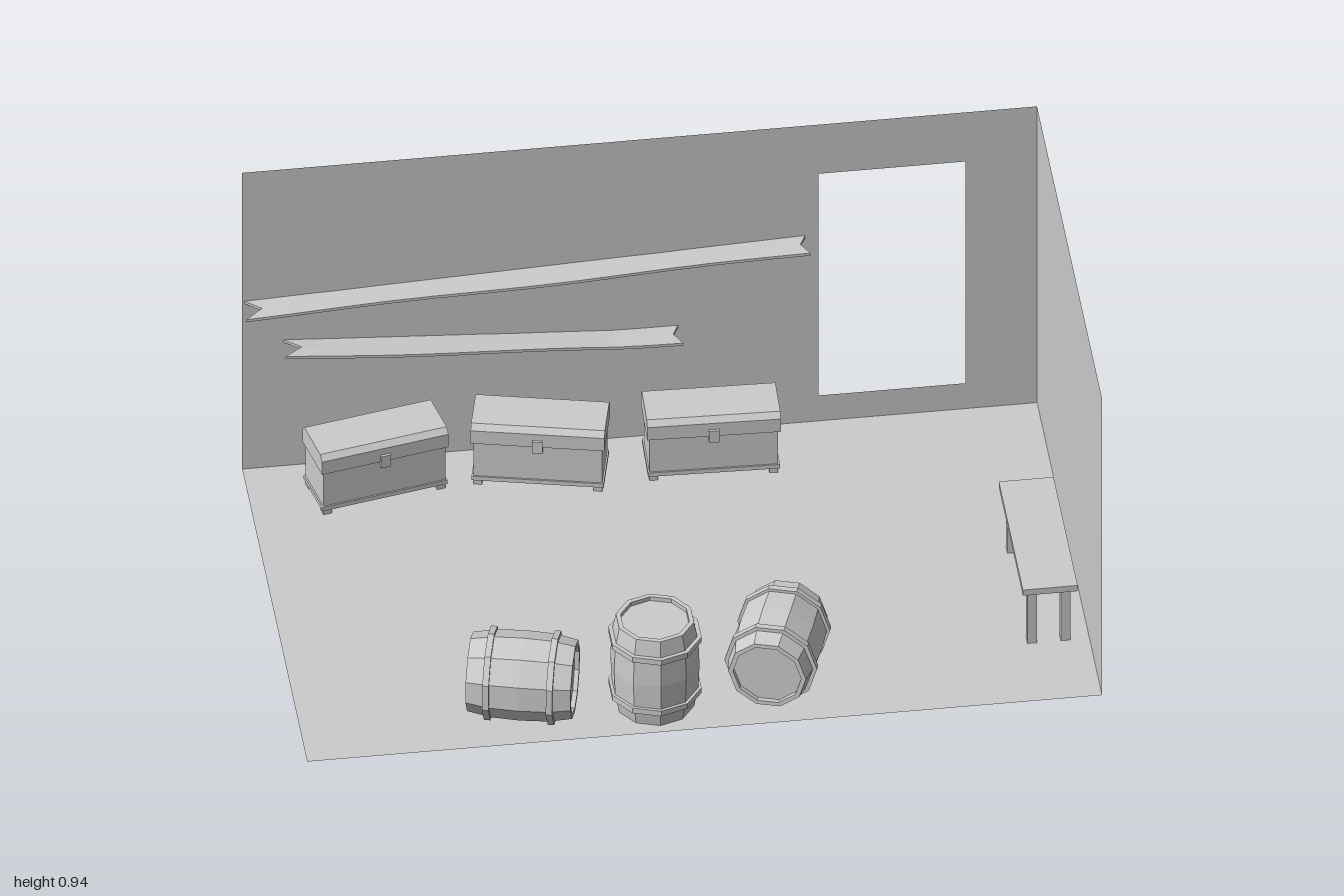
import * as THREE from 'three';

const mat = new THREE.MeshStandardMaterial({ color: 0xcccccc, flatShading: true, side: THREE.DoubleSide });

function add(parent, name, geometry, x = 0, y = 0, z = 0) {
  const m = new THREE.Mesh(geometry, mat);
  m.name = name;
  m.position.set(x, y, z);
  parent.add(m);
  return m;
}

function group(parent, name) {
  const g = new THREE.Group();
  g.name = name;
  parent.add(g);
  return g;
}

const box = (w, h, d) => new THREE.BoxGeometry(w, h, d);
const lathe = (pts) => new THREE.LatheGeometry(pts.map(([r, y]) => new THREE.Vector2(r, y)), 10);

// Floor and two thin walls, the back one with a doorway
function room(parent) {
  const g = group(parent, 'room');
  add(g, 'floor', new THREE.PlaneGeometry(2, 1.2)).rotation.x = -Math.PI / 2;
  add(g, 'sideWall', new THREE.PlaneGeometry(1.2, 0.935), 1, 0.4675, 0).rotation.y = -Math.PI / 2;
  const wall = new THREE.Shape([[-1, 0], [1, 0], [1, 0.935], [-1, 0.935]].map((p) => new THREE.Vector2(...p)));
  wall.holes.push(new THREE.Path([[0.45, 0.08], [0.45, 0.78], [0.82, 0.78], [0.82, 0.08]].map((p) => new THREE.Vector2(...p))));
  add(g, 'backWall', new THREE.ShapeGeometry(wall), 0, 0, -0.6);
}

// Rough plank: a box bent along a height rule, with wavy edges and notched ends
function plank(parent, name, x0, x1, height, phase) {
  const geo = new THREE.BoxGeometry(x1 - x0, 0.008, 0.074, 12, 1, 2);
  const p = geo.attributes.position;
  const half = (x1 - x0) / 2;
  for (let i = 0; i < p.count; i++) {
    let x = p.getX(i);
    const z = p.getZ(i);
    const middle = Math.abs(z) < 0.001;
    const y = p.getY(i) + height((x + half) / (2 * half));
    const wave = middle ? 0 : 0.004 * Math.sin(x * 8 + phase + z * 30);
    if (middle && x < -half + 0.001) x += 0.045;
    if (middle && x > half - 0.001) x -= 0.02;
    p.setXYZ(i, x, y, z + wave);
  }
  geo.computeVertexNormals();
  add(parent, name, geo, (x0 + x1) / 2, 0, -0.566);
}

// Chest with feet, bevelled lid, latch and hinge-side rim
function chest(parent, x, z, turn) {
  const g = group(parent, 'chest');
  g.position.set(x, 0, z);
  g.rotation.y = turn;
  const W = 0.335, D = 0.145;
  add(g, 'body', box(W - 0.012, 0.118, D - 0.012), 0, 0.074, 0);
  add(g, 'baseTrim', box(W - 0.004, 0.012, D - 0.004), 0, 0.021, 0);
  for (const sx of [-1, 1]) for (const sz of [-1, 1]) {
    add(g, 'foot', box(0.022, 0.015, 0.022), sx * (W / 2 - 0.017), 0.0075, sz * (D / 2 - 0.017));
  }
  const d = D / 2;
  const profile = [[-d, 0], [d, 0], [d, 0.04], [d - 0.014, 0.054], [-d + 0.014, 0.054], [-d, 0.04]];
  const shape = new THREE.Shape(profile.map((p) => new THREE.Vector2(...p)));
  const lid = new THREE.ExtrudeGeometry(shape, { depth: W, bevelEnabled: false });
  lid.translate(0, 0, -W / 2).rotateY(-Math.PI / 2);
  add(g, 'lid', lid, 0, 0.132, 0);
  add(g, 'latch', box(0.026, 0.036, 0.012), 0, 0.135, d + 0.001);
}

// Ten-sided barrel with recessed ends and two hoops, centred on its own axis
function barrel(parent, name) {
  const g = group(parent, name);
  const h = 0.132;
  add(g, 'staves', lathe([
    [0, -h + 0.012], [0.087, -h + 0.012], [0.087, -h], [0.099, -h], [0.11, -0.075], [0.113, 0],
    [0.11, 0.075], [0.099, h], [0.087, h], [0.087, h - 0.012], [0, h - 0.012],
  ]));
  for (const y of [-0.08, 0.08]) {
    add(g, 'hoop', lathe([[0.106, -0.008], [0.118, -0.008], [0.118, 0.008], [0.106, 0.008], [0.106, -0.008]]), 0, y, 0);
  }
  return g;
}

// Barrel on its side, its axis pointing along (dx, dz)
function lyingBarrel(parent, x, z, dx, dz) {
  const b = barrel(parent, 'lyingBarrel');
  b.position.set(x, 0.112, z);
  b.quaternion.setFromUnitVectors(new THREE.Vector3(0, 1, 0), new THREE.Vector3(dx, 0, dz).normalize());
}

// Low bench by the side wall
function bench(parent) {
  const g = group(parent, 'bench');
  g.position.set(0.898, 0, 0.17);
  add(g, 'benchTop', box(0.138, 0.018, 0.445), 0, 0.181, 0);
  for (const sx of [-1, 1]) for (const sz of [-1, 1]) {
    add(g, 'benchLeg', box(0.024, 0.172, 0.024), sx * 0.042, 0.086, sz * 0.185);
  }
}

export function createModel() {
  const model = new THREE.Group();
  model.name = 'storeroom';
  room(model);
  plank(model, 'upperShelf', -1, 0.42, (t) => 0.525 + 0.06 * t, 0);
  plank(model, 'lowerShelf', -0.9, 0.1, (t) => 0.335 + 0.058 * Math.max(0, 1 - t / 0.85), 2);

  chest(model, -0.68, -0.487, 0.21);
  chest(model, -0.265, -0.49, -0.23);
  chest(model, 0.163, -0.478, -0.03);

  barrel(model, 'standingBarrel').position.set(-0.108, 0.132, 0.475);
  lyingBarrel(model, -0.44, 0.468, 0.265, 0.07);
  lyingBarrel(model, 0.208, 0.425, -0.09, 0.255);
  bench(model);
  return model;
}
